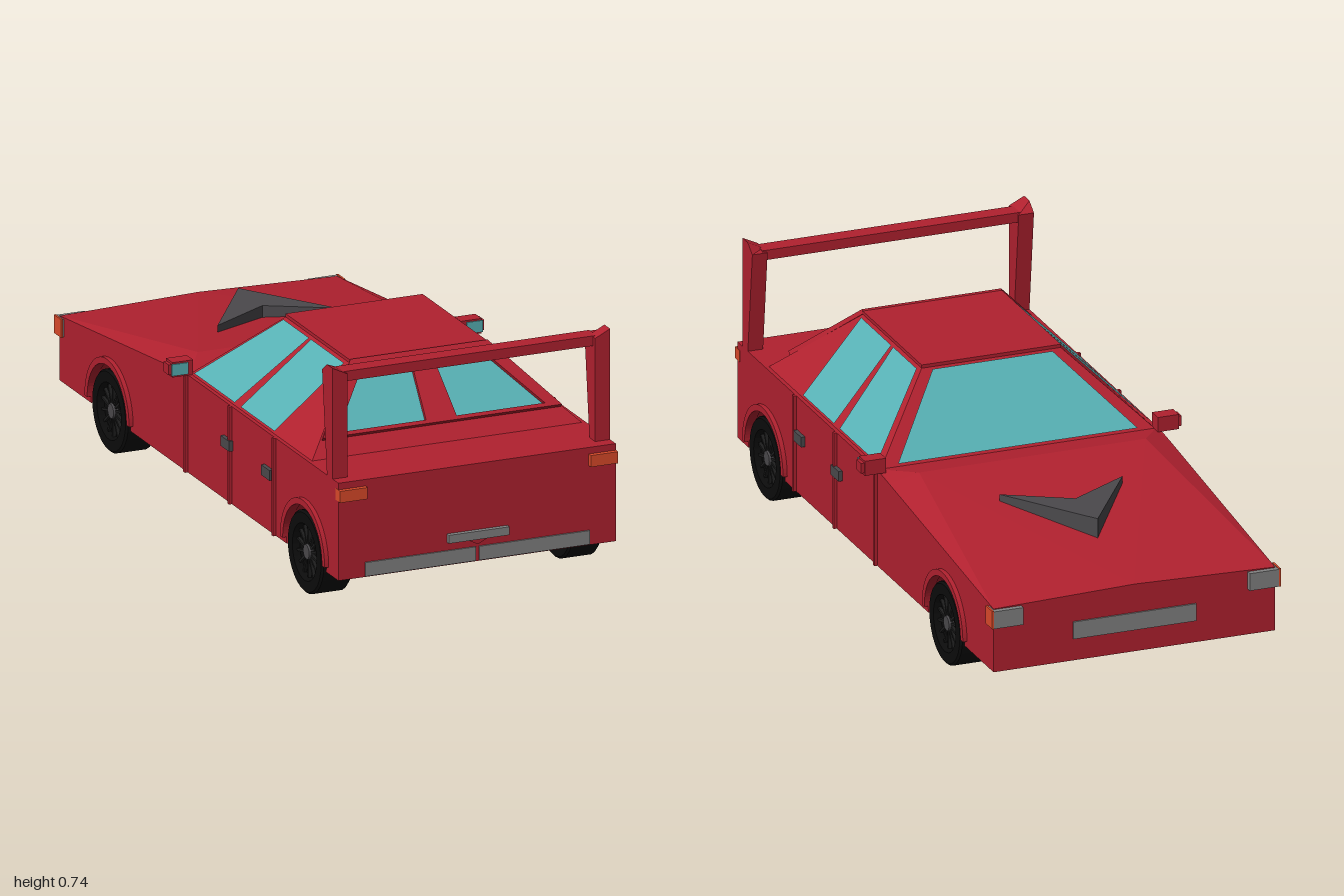
import * as THREE from 'three';

const mat = (name, color, opts = {}) => Object.assign(new THREE.MeshStandardMaterial({ color, ...opts }), { name });

export function createModel() {
  const car = new THREE.Group();
  car.name = 'car';
  const red = mat('red paint', 0xb1212f);
  const glass = mat('glass', 0x58b2b6);
  const grey = mat('light grey', 0x828282);
  const dark = mat('dark grey', 0x4b494c);
  const orange = mat('orange lamp', 0xdc4a2a);
  const black = mat('black rubber', 0x0b0b0b);
  const rim = mat('rim', 0x1d1d1d);

  const add = (name, geo, m, parent = car) => {
    const mesh = new THREE.Mesh(geo, m);
    mesh.name = name;
    parent.add(mesh);
    return mesh;
  };
  // Box given by its minimum and maximum on each axis
  const box = (name, m, x0, x1, y0, y1, z0, z1, parent) => {
    const g = new THREE.BoxGeometry(Math.abs(x1 - x0), y1 - y0, z1 - z0);
    g.translate((x0 + x1) / 2, (y0 + y1) / 2, (z0 + z1) / 2);
    return add(name, g, m, parent);
  };
  // Flat convex polygons, corners anticlockwise from outside
  const faces = (polys) => {
    const pos = [];
    for (const p of polys)
      for (let i = 1; i < p.length - 1; i++) pos.push(...p[0], ...p[i], ...p[i + 1]);
    const g = new THREE.BufferGeometry();
    g.setAttribute('position', new THREE.Float32BufferAttribute(pos, 3));
    g.computeVertexNormals();
    return g;
  };
  const mirror = (poly) => poly.map(([x, y, z]) => [-x, y, z]).reverse();
  const shapeOf = (pts) => new THREE.Shape(pts.map(([x, y]) => new THREE.Vector2(x, y)));
  // Extrude a (z, y) outline across x from x0 to x1
  const across = (shape, x0, x1) => {
    const g = new THREE.ExtrudeGeometry(shape, { depth: x1 - x0, bevelEnabled: false, curveSegments: 20 });
    return g.rotateY(-Math.PI / 2).translate(x1, 0, 0);
  };

  const W = 0.435, BOT = 0.105, AXLES = [0.755, -0.62], WY = 0.125;

  // Lower body: solid core and outer slabs with wheel arches
  const bodyShape = (arches) => {
    const s = new THREE.Shape();
    s.moveTo(0.98, 0.4);
    s.lineTo(0.98, BOT);
    if (arches) for (const z of AXLES) {
      const a = Math.asin((WY - BOT) / 0.14);
      s.absarc(z, WY, 0.14, -a, Math.PI + a, false);
    }
    s.lineTo(-0.98, BOT);
    s.lineTo(-0.98, 0.3);
    s.lineTo(-0.18, 0.391);
    s.lineTo(-0.09, 0.4);
    return s;
  };
  add('bodyCore', across(bodyShape(false), -0.33, 0.33), red);
  add('bodySideLeft', across(bodyShape(true), 0.33, W), red);
  add('bodySideRight', across(bodyShape(true), -W, -0.33), red);

  // Creased hood
  const N = [0, 0.312, -0.98];
  const F = [W, 0.3, -0.98], S = [W, 0.391, -0.18], A = [0.35, 0.42, -0.2], B = [0.425, 0.4, -0.09];
  const flip = ([x, y, z]) => [-x, y, z];
  const half = [[N, A, F], [F, A, S], [S, A, B]];
  add('hood', faces([...half, ...half.map(mirror), [N, flip(A), A],
    [A, flip(A), flip(B), B], [F, flip(F), N]]), red);

  // Hood scoop
  const scoop = new THREE.ExtrudeGeometry(shapeOf([[0, 0.7], [-0.19, 0.42], [0, 0.53], [0.19, 0.42]]),
    { depth: 0.06, bevelEnabled: false });
  add('hoodScoop', scoop.rotateX(-Math.PI / 2).translate(0, 0.35, 0), dark);

  // Cabin
  const ring = (x, y, z0, z1) => [[x, y, z1], [x, y, z0], [-x, y, z0], [-x, y, z1]];
  const lo = ring(0.425, 0.398, -0.09, 0.77), hi = ring(0.21, 0.61, 0.12, 0.56);
  add('cabin', faces([...lo.map((p, i) => [p, lo[(i + 1) % 4], hi[(i + 1) % 4], hi[i]]), hi]), red);
  box('roof', red, -0.215, 0.215, 0.602, 0.615, 0.115, 0.565);

  // Windscreen and side windows, laid just above the cabin planes
  const front = (x, y) => [x, y + 0.004, -0.09 + (y - 0.4) - 0.004];
  add('windscreen', faces([[front(0.37, 0.405), front(-0.37, 0.405), front(-0.185, 0.598), front(0.185, 0.598)]]), glass);
  const side = (z, y) => [0.425 - (y - 0.4) * 1.024 + 0.004, y + 0.004, z];
  const sidePane = (z) => [side(z[0], 0.405), side(z[1], 0.405), side(z[2], 0.598), side(z[3], 0.598)];
  const panes = { rear: [0.505, 0.268, 0.32, 0.55], front: [0.225, -0.06, 0.125, 0.305] };
  for (const [n, z] of Object.entries(panes)) {
    add(n + 'WindowLeft', faces([sidePane(z)]), glass);
    add(n + 'WindowRight', faces([mirror(sidePane(z))]), glass);
  }

  // Raised rear window frame with two panes
  const rearWindow = new THREE.Group();
  rearWindow.name = 'rearWindow';
  rearWindow.position.set(0, 0.4, 0.77);
  rearWindow.rotation.x = -Math.PI / 4;
  car.add(rearWindow);
  const frame = shapeOf([[-0.375, 0.06], [0.375, 0.06], [0.215, 0.295], [-0.215, 0.295]]);
  for (const s of [1, -1]) {
    const hole = [[0.048, 0.072], [0.325, 0.072], [0.19, 0.262], [0.035, 0.262]].map(([x, y]) => [s * x, y]);
    frame.holes.push(shapeOf(hole));
    add('rearPane', new THREE.ShapeGeometry(shapeOf(hole)), glass, rearWindow).position.z = 0.003;
  }
  add('rearFrame', new THREE.ExtrudeGeometry(frame, { depth: 0.014, bevelEnabled: false }), red, rearWindow);

  // Spoiler crossbar
  box('spoilerBar', red, -0.4, 0.4, 0.685, 0.715, 0.872, 0.925);

  for (const s of [1, -1]) {
    const tag = s > 0 ? 'Left' : 'Right';
    const sbox = (name, m, x0, x1, ...r) => box(name + tag, m, s * x0, s * x1, ...r);

    // Spoiler post, its top rising outward
    const post = across(shapeOf([[0.94, 0.395], [0.94, 0.735], [0.9, 0.735], [0.865, 0.71], [0.9, 0.395]]),
      s > 0 ? 0.388 : -W, s > 0 ? W : -0.388);
    const p = post.attributes.position;
    for (let i = 0; i < p.count; i++)
      if (p.getY(i) > 0.72 && Math.abs(p.getX(i)) < 0.4) p.setY(i, 0.712);
    post.computeVertexNormals();
    add('spoilerPost' + tag, post, red);

    // Mirror
    sbox('mirror', red, 0.42, 0.485, 0.4, 0.445, -0.12, -0.075);
    sbox('mirrorTip', red, 0.48, 0.495, 0.407, 0.438, -0.115, -0.08);
    sbox('mirrorGlass', glass, 0.437, 0.488, 0.405, 0.44, -0.076, -0.071);

    // Lamps
    sbox('tailLamp', orange, 0.35, 0.436, 0.345, 0.38, 0.96, 0.995);
    sbox('headLamp', grey, 0.35, 0.44, 0.245, 0.298, -0.997, -0.95);
    sbox('sideLamp', orange, 0.44, 0.446, 0.245, 0.3, -0.997, -0.945);

    // Rear bumper panel
    sbox('bumperPanel', grey, 0.006, 0.352, 0.108, 0.15, 0.975, 0.985);

    // Door handles and door seams
    for (const z of [0.492, 0.207]) sbox('doorHandle', dark, 0.43, 0.447, 0.267, 0.298, z - 0.03, z + 0.03);
    for (const z of [0.535, 0.225, -0.085]) sbox('doorSeam', red, 0.43, 0.444, BOT, 0.4, z - 0.006, z + 0.006);

    for (const z of AXLES) {
      // Wheel arch trim
      const arch = new THREE.Shape();
      arch.absarc(z, WY, 0.157, 0, Math.PI, false);
      arch.absarc(z, WY, 0.138, Math.PI, 0, true);
      add('archTrim' + tag, across(arch, s > 0 ? 0.42 : -0.448, s > 0 ? 0.448 : -0.42), red);

      // Wheel: tyre, spokes and hub, with local y as the axle
      const wheel = new THREE.Group();
      wheel.name = 'wheel' + tag;
      wheel.position.set(s * 0.391, WY - 0.002, z);
      wheel.rotation.z = -s * Math.PI / 2;
      car.add(wheel);
      const profile = [[0, -0.05], [0.117, -0.05], [0.123, -0.044], [0.123, 0.044], [0.117, 0.05],
        [0.085, 0.05], [0.078, 0.03], [0, 0.03]].map(([r, y]) => new THREE.Vector2(r, y));
      const tyre = new THREE.LatheGeometry(profile, 28).toNonIndexed();
      tyre.computeVertexNormals();
      add('tyre', tyre, black, wheel);
      for (let i = 0; i < 14; i++) {
        const spoke = new THREE.BoxGeometry(0.06, 0.01, 0.007).translate(0.048, 0.034, 0);
        add('spoke', spoke.rotateY(i * Math.PI / 7), rim, wheel);
      }
      add('hub', new THREE.CylinderGeometry(0.022, 0.026, 0.018, 10).translate(0, 0.036, 0), dark, wheel);
    }
  }

  // Number plate with its small bracket, and the nose grille
  box('numberPlate', grey, -0.095, 0.095, 0.175, 0.2, 0.975, 0.995);
  const bracket = new THREE.ExtrudeGeometry(shapeOf([[-0.035, 0.176], [0, 0.158], [0.035, 0.176]]),
    { depth: 0.01, bevelEnabled: false });
  add('plateBracket', bracket.translate(0, 0, 0.978), red);
  box('grille', grey, -0.19, 0.19, 0.172, 0.225, -0.985, -0.975);

  return car;
}
